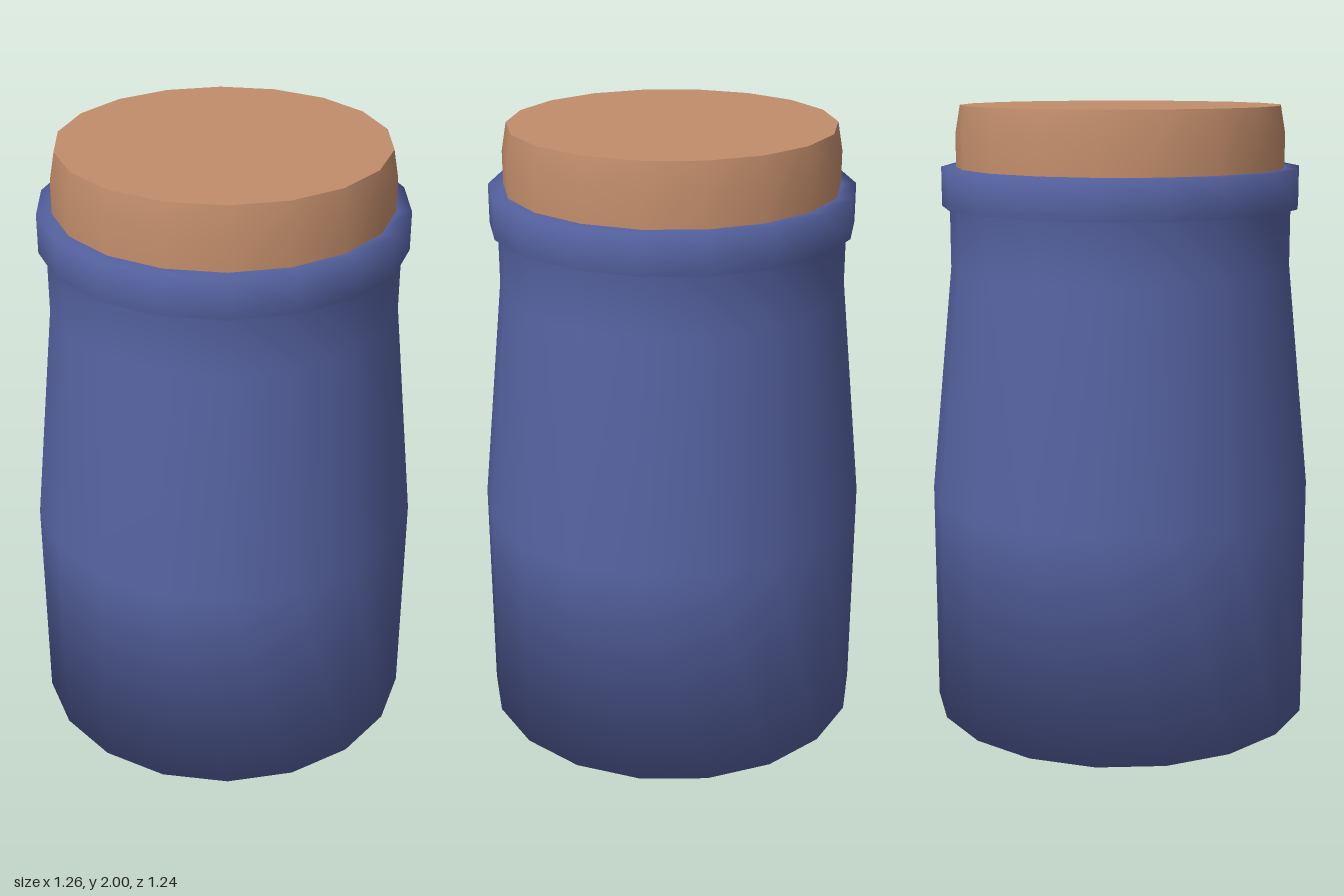
import * as THREE from 'three';

const SIDES = 18;

// Revolves a [radius, height] profile with a corner pointing along +x.
function turned(name, profile, material) {
  const points = profile.map(([r, y]) => new THREE.Vector2(r, y));
  const mesh = new THREE.Mesh(new THREE.LatheGeometry(points, SIDES, Math.PI / 2), material);
  mesh.name = name;
  return mesh;
}

export function createModel() {
  const blue = new THREE.MeshStandardMaterial({ color: 0x5663a2 });
  blue.name = 'blue glaze';
  const cork = new THREE.MeshStandardMaterial({ color: 0xc28d6b });
  cork.name = 'cork';

  const group = new THREE.Group();
  group.name = 'corkedJar';

  // Jar: flat base, straight belly, tapering shoulder, neck and raised lip
  group.add(turned('jarBody', [
    [0, 0], [0.63, 0], [0.63, 0.74], [0.555, 1.48], [0.555, 1.68],
    [0.58, 1.68], [0.58, 1.805], [0.525, 1.805],
  ], blue));

  // Stopper: smooth side with a slight taper at the top, and a flat top face
  group.add(turned('stopperSide', [[0.532, 1.78], [0.532, 1.91], [0.516, 2]], cork));
  group.add(turned('stopperTop', [[0.516, 2], [0, 2]], cork));

  return group;
}
